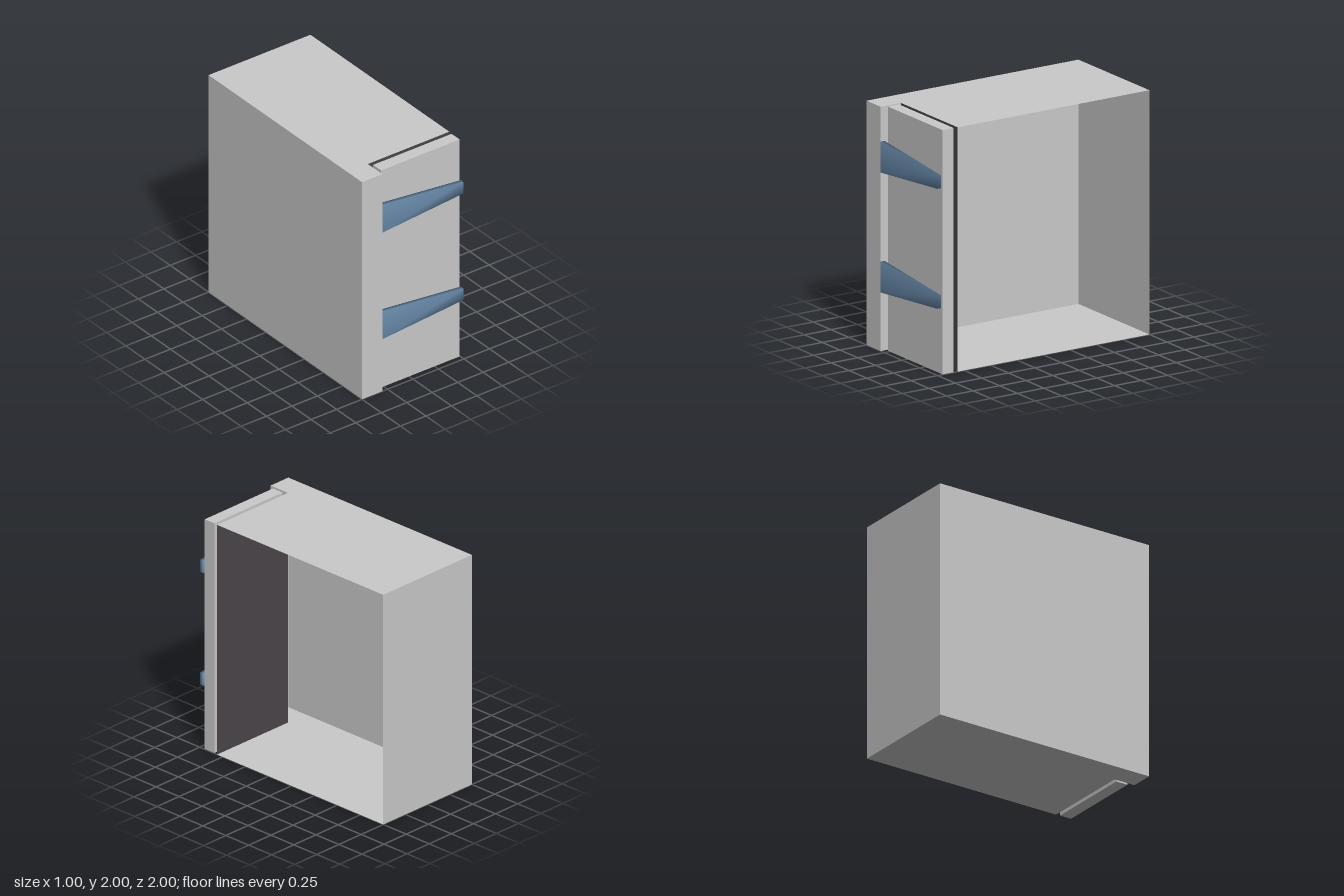
import * as THREE from 'three';
import { mergeVertices } from 'three/addons/utils/BufferGeometryUtils.js';

const HEIGHT = 2;
const grey = new THREE.MeshStandardMaterial({ color: 0xcacaca, side: THREE.DoubleSide });
grey.name = 'grey';
const dark = new THREE.MeshStandardMaterial({ color: 0x4b4649, side: THREE.DoubleSide });
dark.name = 'dark';
const blue = new THREE.MeshStandardMaterial({ color: 0x6788a8, side: THREE.DoubleSide });
blue.name = 'blue';

function add(group, name, geometry, material) {
  const mesh = new THREE.Mesh(geometry, material);
  mesh.name = name;
  group.add(mesh);
  return mesh;
}

// Upright sheet over the floor line from a to b, each [x, z]
function sheet([ax, az], [bx, bz]) {
  const geometry = new THREE.PlaneGeometry(Math.hypot(bx - ax, bz - az), HEIGHT);
  geometry.rotateY(-Math.atan2(bz - az, bx - ax));
  return geometry.translate((ax + bx) / 2, HEIGHT / 2, (az + bz) / 2);
}

// Flat bar that narrows towards its free end, softly shaded
function hingeGeometry() {
  const x0 = -0.3, x1 = 0.495;
  const geometry = new THREE.BoxGeometry(x1 - x0, 1, 0.035);
  const p = geometry.attributes.position;
  for (let i = 0; i < p.count; i++) {
    const tip = p.getX(i) > 0;
    p.setY(i, p.getY(i) * (tip ? 0.106 : 0.254) + (tip ? -0.004 : 0.004));
  }
  geometry.translate((x0 + x1) / 2, 0, 0.9825);
  geometry.deleteAttribute('normal');
  geometry.deleteAttribute('uv');
  // Leave out the end that meets the post
  const index = Array.from(geometry.index.array);
  index.splice(6, 6);
  geometry.setIndex(index);
  geometry.clearGroups();
  const smooth = mergeVertices(geometry);
  smooth.computeVertexNormals();
  return smooth;
}

export function createModel() {
  const model = new THREE.Group();
  model.name = 'wallSection';

  // Hollow wall, open on its left side, with a rebate for the door
  const outline = [[0.5, -1], [-0.5, -1], [-0.5, 1], [-0.3, 1], [-0.3, 0.81], [0.5, 0.81]];
  const names = ['backWall', 'sideWall', 'frontPost', 'doorJamb'];
  names.forEach((name, i) => add(model, name, sheet(outline[i], outline[i + 1]), grey));
  add(model, 'rebatePanel', sheet(outline[4], outline[5]), dark);

  const shape = new THREE.Shape(outline.map(([x, z]) => new THREE.Vector2(x, z)));
  const slab = new THREE.ShapeGeometry(shape).rotateX(Math.PI / 2);
  add(model, 'floor', slab, grey);
  add(model, 'roof', slab, grey).position.y = HEIGHT;

  // Door
  const door = new THREE.BoxGeometry(0.77, HEIGHT, 0.105);
  add(model, 'door', door.translate(0.11, HEIGHT / 2, 0.8975), grey);

  // Strap hinges
  const hinge = hingeGeometry();
  [['lowerHinge', 0.602], ['upperHinge', 1.584]].forEach(([name, y]) => {
    add(model, name, hinge, blue).position.y = y;
  });

  return model;
}
